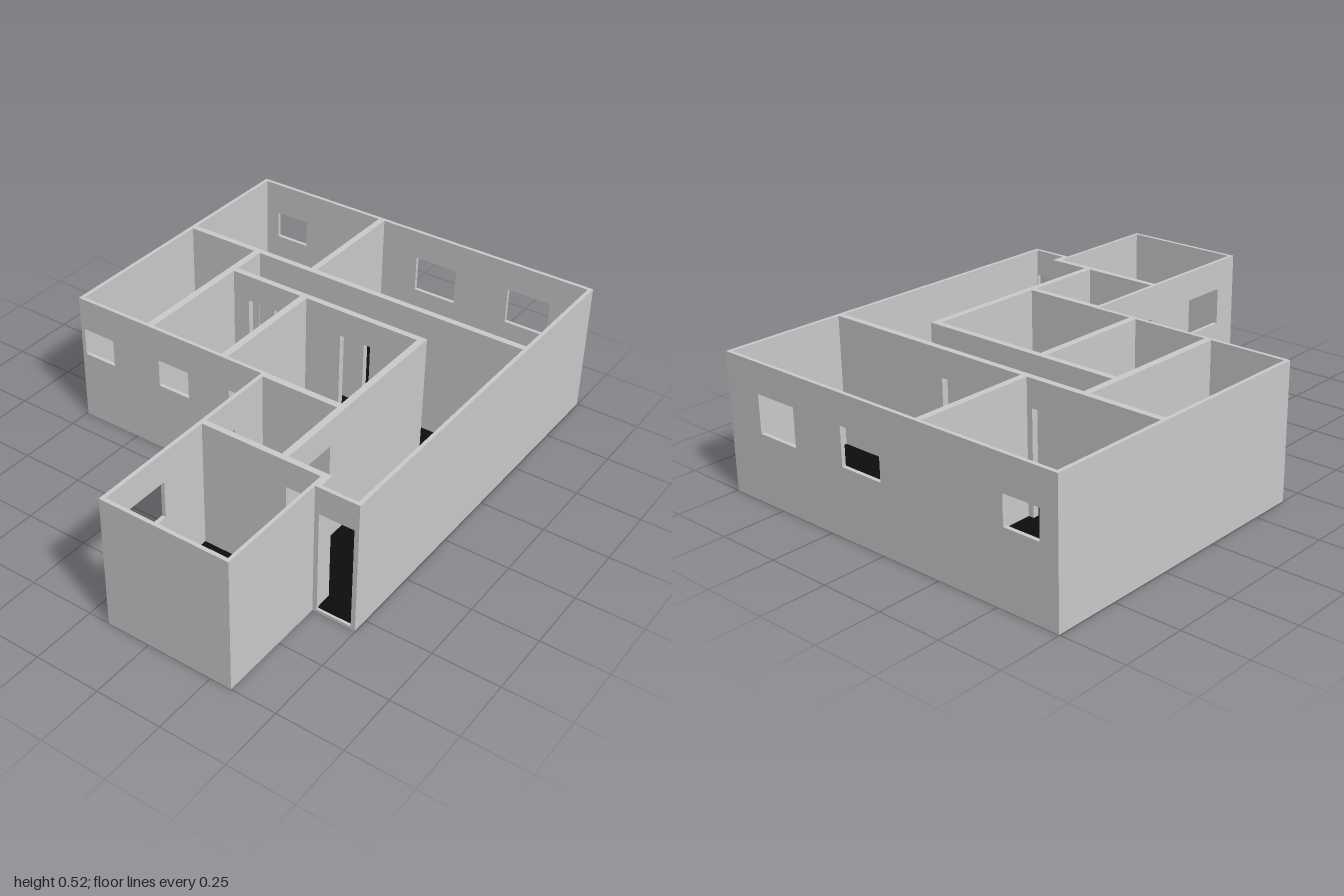
import * as THREE from 'three';

const H = 0.52, BASE = 0.01;
const grey = new THREE.MeshStandardMaterial({ color: 0xcccccc });
const dark = new THREE.MeshStandardMaterial({ color: 0x0d0d0d });

// Openings: start, end, bottom, top
const door = (a, b) => [a, b, 0.012, 0.415];
const smallWindow = (a, b) => [a, b, 0.28, 0.39];
const bigWindow = (a, b) => [a, b, 0.26, 0.405];

function rect(path, a, b, y0, y1) {
  path.moveTo(a, y0);
  path.lineTo(b, y0);
  path.lineTo(b, y1);
  path.lineTo(a, y1);
  path.closePath();
  return path;
}

// Wall running along 'x' or 'z' from a to b, spanning t0 to t1 in thickness
function wall(name, axis, a, b, t0, t1, openings = []) {
  const shape = rect(new THREE.Shape(), a, b, BASE, H);
  for (const o of openings) shape.holes.push(rect(new THREE.Path(), ...o));
  const geo = new THREE.ExtrudeGeometry(shape, { depth: t1 - t0, bevelEnabled: false });
  if (axis === 'x') geo.translate(0, 0, t0);
  else geo.rotateY(-Math.PI / 2).translate(t1, 0, 0);
  const mesh = new THREE.Mesh(geo, grey);
  mesh.name = name;
  return mesh;
}

// Flat slab over the house footprint, drawn in by an inset
function slab(name, inset, y, height, material) {
  const i = inset;
  const pts = [
    [-0.747 + i, -1 + i], [0.747 - i, -1 + i], [0.747 - i, 0.56 - i], [0.58 - i, 0.56 - i],
    [0.58 - i, 1 - i], [0.082 + i, 1 - i], [0.082 + i, 0.163 - i], [-0.747 + i, 0.163 - i],
  ];
  const shape = new THREE.Shape(pts.map(([x, z]) => new THREE.Vector2(x, -z)));
  const geo = new THREE.ExtrudeGeometry(shape, { depth: height, bevelEnabled: false });
  geo.rotateX(-Math.PI / 2).translate(0, y, 0);
  const mesh = new THREE.Mesh(geo, material);
  mesh.name = name;
  return mesh;
}

export function createModel() {
  const house = new THREE.Group();
  house.name = 'house';

  house.add(slab('baseSlab', 0, 0, BASE, grey), slab('floor', 0.01, BASE, 0.008, dark));

  // Outer walls
  const outer = new THREE.Group();
  outer.name = 'outerWalls';
  outer.add(
    wall('backWall', 'x', -0.747, 0.747, -1, -0.985,
      [bigWindow(0.41, 0.59), bigWindow(0, 0.18), smallWindow(-0.675, -0.53)]),
    wall('rightWall', 'z', -0.985, 0.148, -0.747, -0.732),
    wall('leftWall', 'z', -0.985, 0.545, 0.732, 0.747),
    wall('frontWall', 'x', -0.747, 0.082, 0.148, 0.163,
      [smallWindow(-0.73, -0.592), smallWindow(-0.377, -0.242), smallWindow(-0.06, 0.074)]),
    wall('entranceWall', 'x', 0.58, 0.747, 0.545, 0.56, [door(0.597, 0.73)]),
    wall('frontRoomFrontWall', 'x', 0.082, 0.58, 0.985, 1),
    wall('frontRoomLeftWall', 'z', 0.56, 0.985, 0.567, 0.58),
    wall('frontRoomRightWall', 'z', 0.148, 0.985, 0.082, 0.097,
      [smallWindow(0.335, 0.475), bigWindow(0.71, 0.9)]),
  );

  // Room partitions
  const inner = new THREE.Group();
  inner.name = 'partitionWalls';
  const bedroomDoors = [door(-0.335, -0.205), door(0.08, 0.21)];
  inner.add(
    wall('backRoomsPartition', 'x', -0.732, 0.732, -0.515, -0.49, bedroomDoors),
    wall('backRoomsDivider', 'z', -0.985, -0.515, -0.183, -0.157),
    wall('sideRoomPartition', 'z', -0.49, 0.148, -0.433, -0.405, [door(-0.485, -0.355)]),
    wall('corridorPartition', 'x', -0.405, 0.428, -0.35, -0.325, bedroomDoors),
    wall('middleRoomsDivider', 'z', -0.325, 0.148, -0.1, -0.072),
    wall('hallPartition', 'z', -0.325, 0.487, 0.402, 0.428, [door(0.25, 0.38)]),
    wall('smallRoomBackPartition', 'x', 0.082, 0.402, 0.15, 0.176),
    wall('frontRoomPartition', 'x', 0.097, 0.595, 0.487, 0.51, [door(0.435, 0.56)]),
    wall('entranceReturn', 'z', 0.51, 0.56, 0.567, 0.595),
  );

  house.add(outer, inner);
  return house;
}
